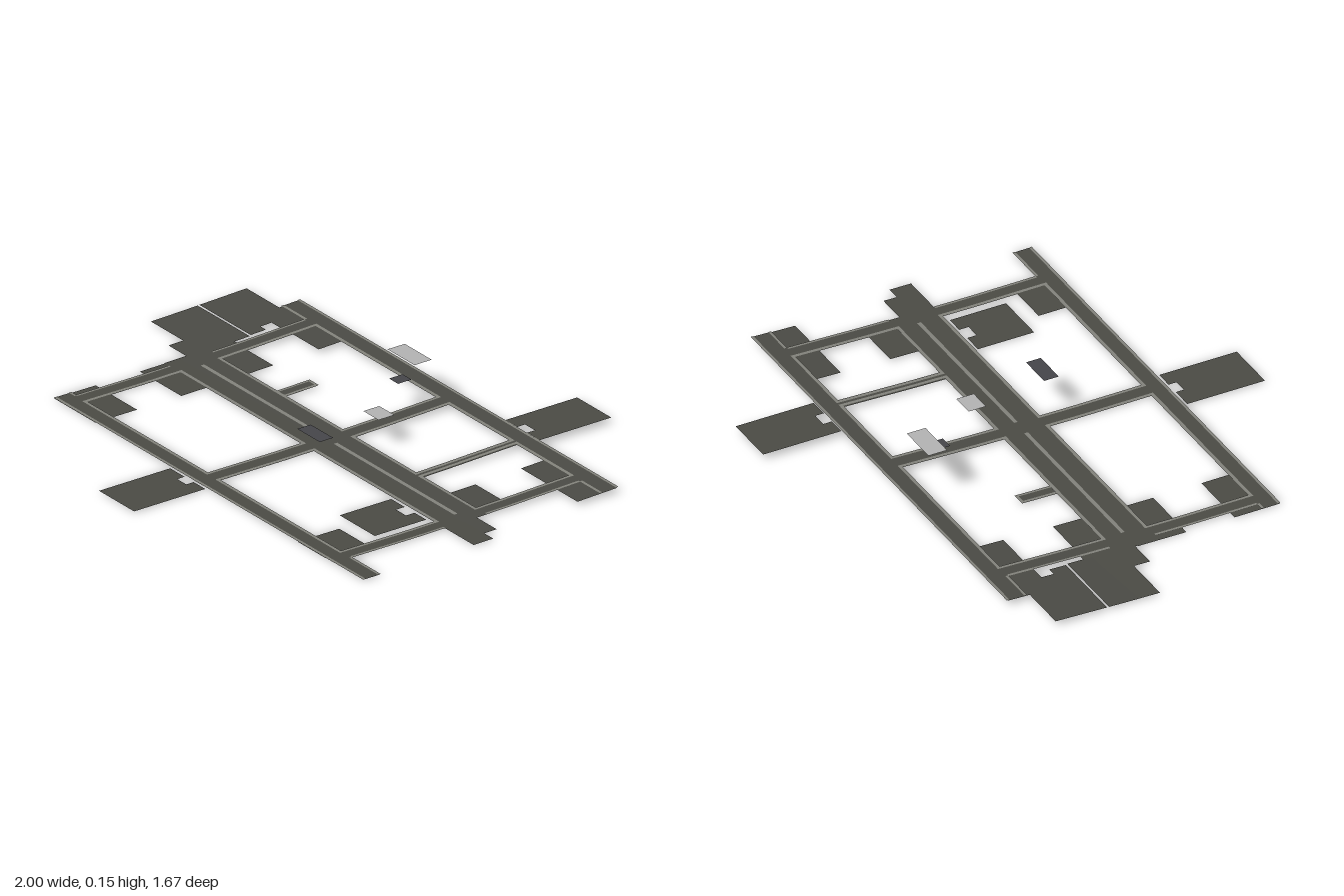
import * as THREE from 'three';

const flat = (name, color) =>
  Object.assign(new THREE.MeshStandardMaterial({ color, side: THREE.DoubleSide }), { name });

// ground height, rising gently towards the back
const PROFILE = [[-0.55, 0.022], [-0.2, 0.011], [0, 0.007], [0.2, 0.005], [0.55, 0.007]];
function ground(z) {
  let i = 0;
  while (i < PROFILE.length - 2 && z > PROFILE[i + 1][0]) i++;
  const [z0, y0] = PROFILE[i], [z1, y1] = PROFILE[i + 1];
  const t = THREE.MathUtils.clamp((z - z0) / (z1 - z0), 0, 1);
  return y0 + (y1 - y0) * t;
}

export function createModel() {
  const root = new THREE.Group();
  root.name = 'streetGrid';
  const asphalt = flat('asphalt', 0x4b4b45);
  const kerbStone = flat('kerbStone', 0x83837c);
  const paleRoof = flat('paleRoof', 0xb4b4b4);
  const darkRoof = flat('darkRoof', 0x46464a);

  // thin sheet over a rectangle, following the ground or set level at a fixed height
  function plate(name, mat, [x0, x1, z0, z1], lift = 0, level = null) {
    const steps = Math.max(1, Math.ceil((z1 - z0) / 0.05));
    const g = new THREE.PlaneGeometry(x1 - x0, z1 - z0, 1, steps);
    g.rotateX(-Math.PI / 2);
    g.translate((x0 + x1) / 2, 0, (z0 + z1) / 2);
    const p = g.attributes.position;
    for (let i = 0; i < p.count; i++) p.setY(i, level ?? ground(p.getZ(i)) + lift);
    g.computeVertexNormals();
    const m = new THREE.Mesh(g, mat);
    m.name = name;
    root.add(m);
  }

  // streets running across
  [
    [-0.82, 0.95, -0.545, -0.47],
    [-0.72, 0.84, -0.09, 0.08],
    [0.84, 1.0, 0, 0.08],
    [0.84, 0.95, -0.05, 0],
    [-0.72, 1.0, 0.46, 0.53],
  ].forEach(r => plate('crossStreet', asphalt, r));

  // streets running front to back, with one short stub
  [
    [-0.69, -0.63, -0.54, 0.53],
    [0.04, 0.11, -0.54, 0.53],
    [0.78, 0.84, -0.54, 0.53],
    [0.445, 0.49, -0.54, -0.09],
    [-0.325, -0.275, -0.22, -0.09],
  ].forEach(r => plate('longStreet', asphalt, r, -0.0005));

  // paved corner pads
  [
    [-0.82, -0.49, -0.54, -0.38],
    [-0.72, -0.49, -0.195, -0.01],
    [-0.72, -0.49, 0, 0.18],
    [-0.72, -0.49, 0.36, 0.53],
    [0.635, 0.79, -0.195, -0.05],
    [0.635, 0.95, -0.54, -0.38],
    [0.635, 0.79, 0.36, 0.53],
  ].forEach(r => plate('cornerPad', asphalt, r, -0.002));

  // notched plots: body, then the two lips beside the notch
  function plot(x0, x1, z0, z1, n0, n1, zn, notchAtBack) {
    const y = ground((z0 + z1) / 2);
    const [body, lip] = notchAtBack ? [[zn, z1], [z0, zn]] : [[z0, zn], [zn, z1]];
    plate('plot', asphalt, [x0, x1, ...body], 0, y);
    plate('plot', asphalt, [x0, n0, ...lip], 0, y);
    plate('plot', asphalt, [n1, x1, ...lip], 0, y);
  }
  plot(0.32, 0.51, -0.84, -0.548, 0.385, 0.44, -0.58, false);
  plot(-0.06, 0.135, 0.54, 0.83, 0.02, 0.07, 0.57, true);
  plot(0.555, 0.75, 0.09, 0.3, 0.63, 0.685, 0.125, true);

  // side plots
  [
    [-1, -0.69, -0.46, -0.375],
    [-1, -0.745, -0.375, -0.33],
    [-1, -0.715, -0.33, -0.268],
    [-1, -0.71, -0.26, -0.07],
    [-0.82, -0.69, -0.07, -0.01],
    [-0.71, -0.69, -0.2, -0.07],
  ].forEach(r => plate('sidePlot', asphalt, r, -0.001));

  // kerbs framing each city block
  const k = 0.012, lift = 0.0015;
  function kerbFrame(x0, x1, z0, z1) {
    [
      [x0 - k, x1 + k, z0 - k, z0],
      [x0 - k, x1 + k, z1, z1 + k],
      [x0 - k, x0, z0, z1],
      [x1, x1 + k, z0, z1],
    ].forEach(r => plate('blockKerb', kerbStone, r, lift));
  }
  [
    [-0.63, 0.04, -0.47, -0.09],
    [0.11, 0.45, -0.47, -0.09],
    [0.485, 0.78, -0.47, -0.09],
    [-0.63, 0.04, 0.08, 0.46],
    [0.11, 0.78, 0.08, 0.46],
  ].forEach(r => kerbFrame(...r));

  // outer kerbs, median and stub kerbs
  [
    [-0.82, 0.95, -0.546, -0.536],
    [-0.72, 1.0, 0.521, 0.531],
    [-0.82, -0.69, -0.48, -0.47],
    [0.84, 0.95, -0.48, -0.47],
    [-0.72, -0.69, 0.459, 0.469],
    [0.84, 1.0, 0.459, 0.469],
    [-0.694, -0.684, -0.47, -0.09],
    [-0.694, -0.684, 0.08, 0.46],
    [0.832, 0.842, -0.47, -0.09],
    [0.832, 0.842, 0.08, 0.46],
    [-0.63, 0.04, -0.016, -0.002],
    [0.11, 0.78, -0.016, -0.002],
    [-0.325, -0.315, -0.22, -0.09],
    [-0.285, -0.275, -0.22, -0.09],
    [-0.325, -0.275, -0.222, -0.212],
  ].forEach(r => plate('kerb', kerbStone, r, lift));

  // raised flat roofs
  plate('paleRoof', paleRoof, [-0.12, 0.03, -0.46, -0.39], 0, 0.155);
  plate('smallPaleRoof', paleRoof, [0.12, 0.205, -0.18, -0.115], 0, 0.1);
  plate('darkRoof', darkRoof, [0.135, 0.26, 0.11, 0.165], 0, 0.12);
  plate('smallDarkRoof', darkRoof, [-0.03, 0.02, -0.385, -0.33], 0, 0.1);

  return root;
}
